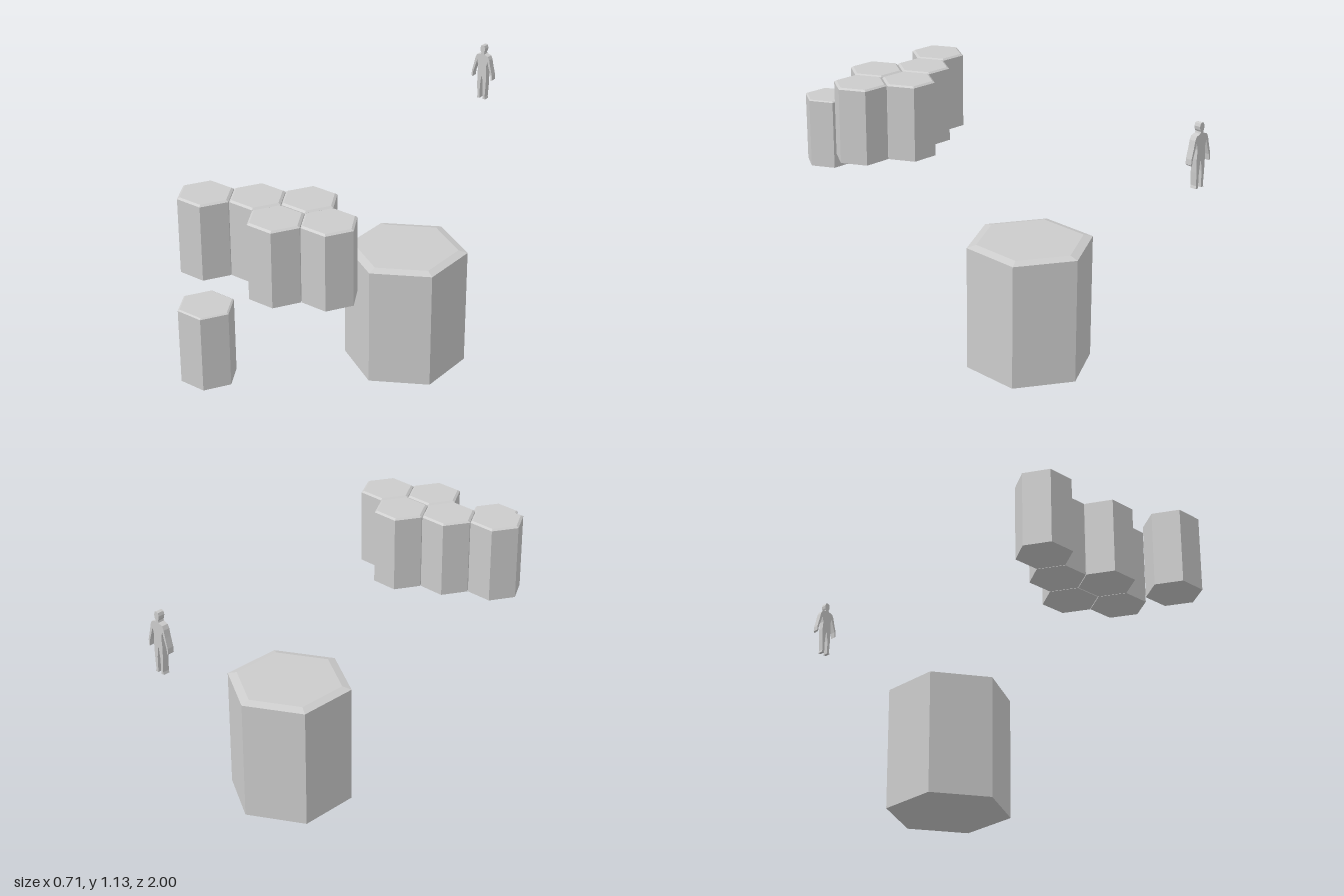
import * as THREE from 'three';

const material = new THREE.MeshStandardMaterial({ color: 0xcccccc, flatShading: true });

// Solid hexagonal column with a bevelled top rim
function hexColumn(name, { r, x, z, bottom, top, inset, bevel, turn = 0 }) {
  const profile = [
    [0, bottom], [r, bottom], [r, top - bevel], [r - inset, top], [0, top],
  ].map(([px, py]) => new THREE.Vector2(px, py));
  const mesh = new THREE.Mesh(new THREE.LatheGeometry(profile, 6, turn), material);
  mesh.name = name;
  mesh.position.set(x, 0, z);
  return mesh;
}

// Flat standing person, cut from a mirrored half outline
function createFigure() {
  const half = [
    [0, 1.13], [0.008, 1.127], [0.012, 1.116], [0.01, 1.104], [0.006, 1.097], [0.008, 1.09], // head, neck
    [0.027, 1.084], [0.034, 1.07], [0.04, 1.043], [0.05, 1.005], [0.051, 0.985], [0.046, 0.98], // outer arm
    [0.043, 1.003], [0.031, 1.04], [0.025, 1.06], // inner arm
    [0.019, 1.035], [0.022, 1.0], [0.021, 0.95], [0.018, 0.9], [0.021, 0.89], // side, outer leg
    [0.008, 0.89], [0.007, 0.95], [0.002, 0.99], // foot, inner leg
  ];
  const mirrored = half.slice(1).reverse().map(([x, y]) => [-x, y]);
  const shape = new THREE.Shape([...half, ...mirrored].map(([x, y]) => new THREE.Vector2(x, y)));
  const geometry = new THREE.ExtrudeGeometry(shape, { depth: 0.025, bevelEnabled: false });
  const mesh = new THREE.Mesh(geometry, material);
  mesh.name = 'personFigure';
  mesh.position.set(-0.061, 0, -1);
  return mesh;
}

export function createModel() {
  const model = new THREE.Group();
  model.name = 'hexagonColumns';

  // Large column, corners towards front and back
  model.add(hexColumn('largeColumn', {
    r: 0.248, x: 0.052, z: -0.286, bottom: 0, top: 0.51, inset: 0.037, bevel: 0.01,
  }));

  // Cluster of five columns on a honeycomb grid: [column step, half-row step]
  const cluster = new THREE.Group();
  cluster.name = 'columnCluster';
  for (const [i, j] of [[-2, 2], [-1, 1], [0, 0], [0, 2], [1, 1]]) {
    cluster.add(hexColumn('clusterColumn', {
      r: 0.109, x: 0.082 + i * 0.165, z: 0.367 + j * 0.0965,
      bottom: 0.697, top: 1.005, inset: 0.01, bevel: 0.006, turn: Math.PI / 6,
    }));
  }
  model.add(cluster);

  // Single small column at the front
  model.add(hexColumn('smallColumn', {
    r: 0.1025, x: 0.053, z: 0.911, bottom: 0.515, top: 0.805, inset: 0.007, bevel: 0.004, turn: Math.PI / 6,
  }));

  model.add(createFigure());
  return model;
}
